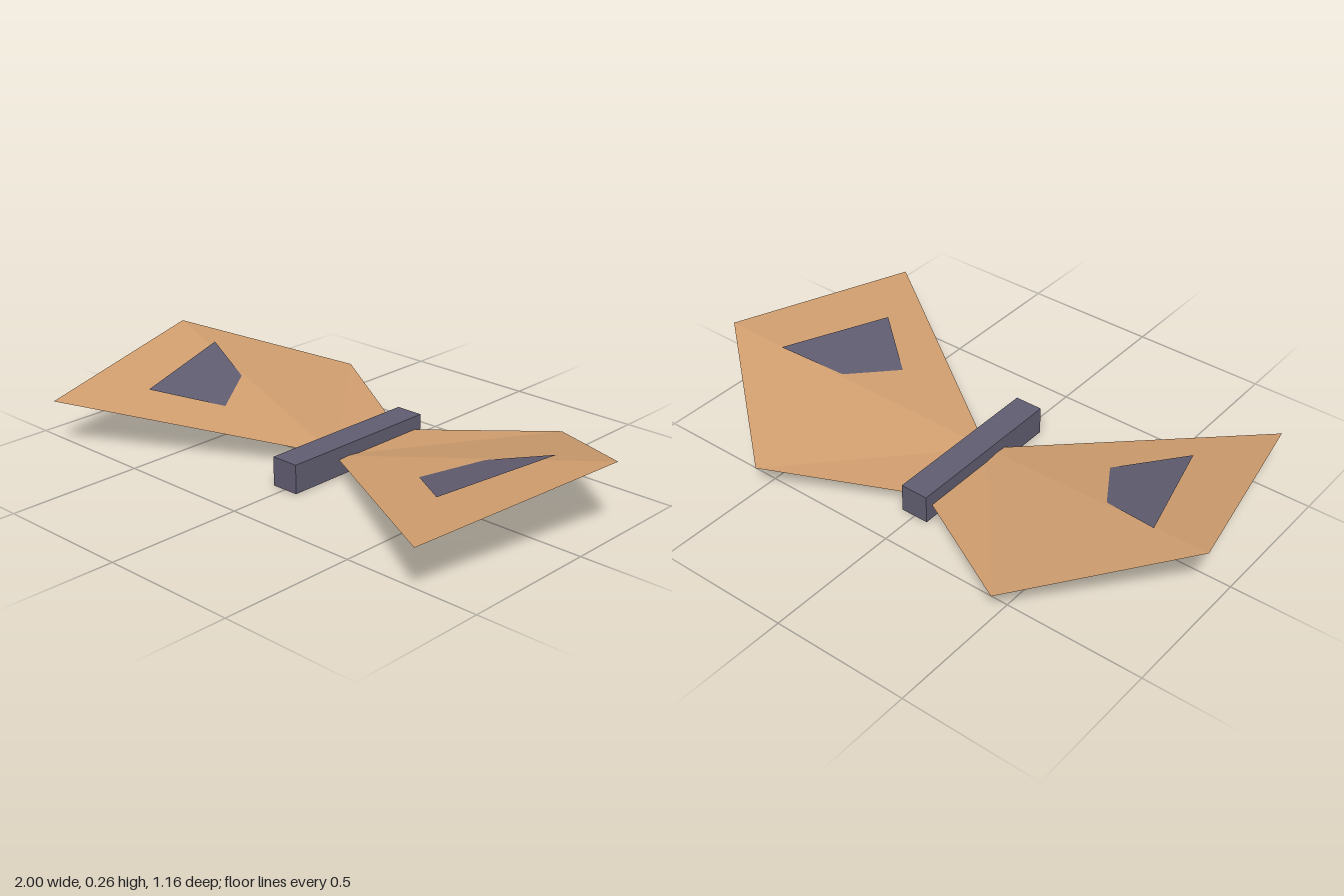
import * as THREE from 'three';

// Fan of flat triangles from the first corner; side = 1 (left) or -1 (right).
function fan(points, side) {
  const pos = [];
  for (let i = 1; i < points.length - 1; i++) {
    const tri = [points[0], points[i], points[i + 1]];
    if (side < 0) tri.reverse(); // keep the faces pointing up when mirrored
    for (const [x, y, z] of tri) pos.push(x * side, y, z);
  }
  const g = new THREE.BufferGeometry();
  g.setAttribute('position', new THREE.Float32BufferAttribute(pos, 3));
  g.computeVertexNormals();
  return g;
}

export function createModel() {
  const tan = new THREE.MeshStandardMaterial({ name: 'wingTan', color: 0xcf9d6e, flatShading: true, side: THREE.DoubleSide });
  const slate = new THREE.MeshStandardMaterial({ name: 'slatePurple', color: 0x605c70, flatShading: true, side: THREE.DoubleSide });

  const model = new THREE.Group();
  model.name = 'butterfly';
  const add = (name, geometry, material) => {
    const mesh = new THREE.Mesh(geometry, material);
    mesh.name = name;
    model.add(mesh);
    return mesh;
  };

  // Body: a plain bar lying along z
  add('body', new THREE.BoxGeometry(0.104, 0.104, 0.625), slate).position.set(0, 0.052, -0.042);

  // Wing: three folded facets fanning out from the front root
  const wing = [
    [0, 0.05, 0.03],
    [0.83, 0.18, 0.577],
    [1, 0.26, -0.17],
    [0.5, 0.097, -0.583],
    [0, 0.05, -0.295],
  ];
  // Spot: a tilted triangle whose inner corner dips through the wing
  const spot = [
    [0.316, 0.1, 0.01],
    [0.665, 0.187, 0.285],
    [0.79, 0.229, -0.145],
  ];

  for (const [label, side] of [['left', 1], ['right', -1]]) {
    add(label + 'Wing', fan(wing, side), tan);
    add(label + 'Spot', fan(spot, side), slate);
  }
  return model;
}
